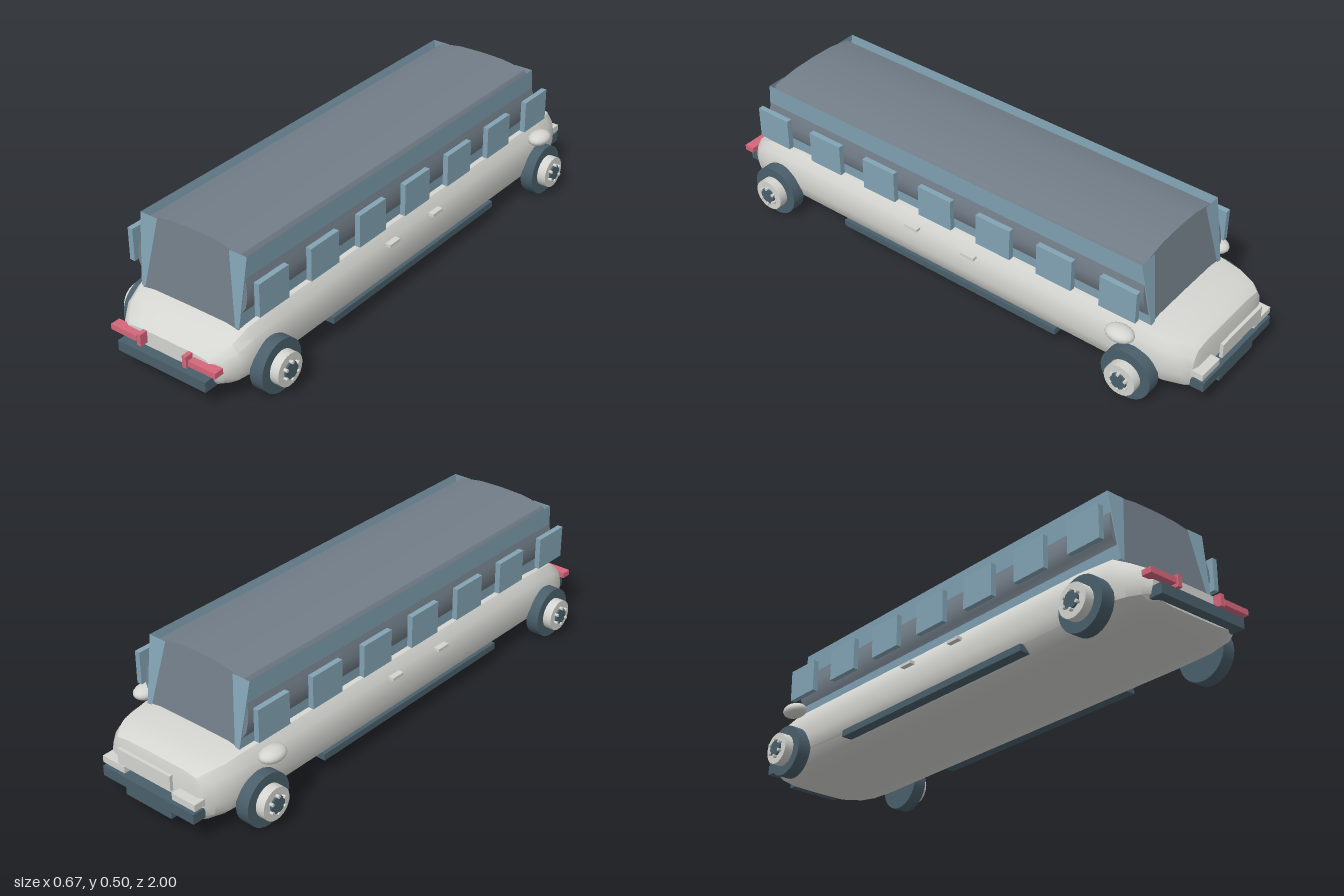
import * as THREE from 'three';
import { toCreasedNormals } from 'three/addons/utils/BufferGeometryUtils.js';

const mat = (name, color, side = THREE.FrontSide) => {
  const m = new THREE.MeshStandardMaterial({ color, side });
  m.name = name;
  return m;
};

// Closed hull through a list of sections [z, halfWidth, yBottom, yTop]
function hull(sections, half) {
  const ring = [...half, ...half.slice(1, -1).reverse().map(([x, t]) => [-x, t])];
  const n = ring.length, pos = [], idx = [];
  for (const [z, w, y0, y1] of sections) {
    for (const [x, t] of ring) pos.push(x * w, y0 + (y1 - y0) * t, z);
  }
  const last = sections.length - 1;
  for (let i = 0; i < last; i++) {
    for (let j = 0; j < n; j++) {
      const a = i * n + j, c = i * n + (j + 1) % n;
      idx.push(a, a + n, c, c, a + n, c + n);
    }
  }
  for (let j = 1; j < n - 1; j++) {
    idx.push(0, j, j + 1, last * n, last * n + j + 1, last * n + j);
  }
  const g = new THREE.BufferGeometry();
  g.setAttribute('position', new THREE.Float32BufferAttribute(pos, 3));
  g.setIndex(idx);
  return toCreasedNormals(g, 0.6);
}

export function createModel() {
  const paint = mat('light grey paint', 0xd4d4d0);
  const cabinGrey = mat('cabin grey', 0x727d88);
  const glass = mat('window blue', 0x82a3b4);
  const glassSheet = glass;
  glassSheet.side = THREE.DoubleSide;
  const dark = mat('dark slate', 0x4a5f6b);
  const red = mat('lamp red', 0xd4667a);

  const car = new THREE.Group();
  car.name = 'limousine';
  const add = (name, geo, material, x = 0, y = 0, z = 0, parent = car) => {
    const m = new THREE.Mesh(geo, material);
    m.name = name;
    m.position.set(x, y, z);
    parent.add(m);
    return m;
  };
  // Box given by its limits on each axis
  const box = (name, material, [x0, x1], [y0, y1], [z0, z1]) =>
    add(name, new THREE.BoxGeometry(Math.abs(x1 - x0), y1 - y0, Math.abs(z1 - z0)), material,
      (x0 + x1) / 2, (y0 + y1) / 2, (z0 + z1) / 2);

  // Long lower body
  add('body', hull([
    [0.965, 0.18, 0.07, 0.17],
    [0.94, 0.208, 0.06, 0.19],
    [0.9, 0.236, 0.05, 0.215],
    [0.84, 0.248, 0.043, 0.25],
    [0.7, 0.25, 0.04, 0.26],
    [-0.78, 0.25, 0.04, 0.264],
    [-0.86, 0.242, 0.042, 0.255],
    [-0.915, 0.222, 0.046, 0.246],
    [-0.945, 0.2, 0.052, 0.23],
    [-0.952, 0.18, 0.06, 0.2],
  ], [[0, 0], [0.55, 0.01], [0.82, 0.07], [0.96, 0.22], [1, 0.42], [1, 0.62],
    [0.965, 0.8], [0.87, 0.95], [0.6, 0.995], [0, 1]]), paint);

  // Cabin: bulged profile stretched between two sloping ends
  const frontZ = (y) => 0.857 - 0.13 * (y - 0.24);
  const backZ = (y) => -0.785 + 0.18 * (y - 0.24);
  const side = [[0.195, 0.22], [0.203, 0.29], [0.219, 0.315], [0.222, 0.355], [0.216, 0.39],
    [0.206, 0.425], [0.2, 0.455], [0.183, 0.477], [0.145, 0.486], [0.09, 0.495], [0, 0.498]];
  const outline = [...side, ...side.slice(0, -1).reverse().map(([x, y]) => [-x, y])];
  const cabin = new THREE.ExtrudeGeometry(
    new THREE.Shape(outline.map(([x, y]) => new THREE.Vector2(x, y))),
    { depth: 1, bevelEnabled: false });
  const cp = cabin.attributes.position;
  for (let i = 0; i < cp.count; i++) {
    const y = cp.getY(i);
    cp.setZ(i, THREE.MathUtils.lerp(backZ(y), frontZ(y), cp.getZ(i)));
  }
  add('cabin', toCreasedNormals(cabin, 0.6), cabinGrey);

  for (const s of [-1, 1]) {
    // Glass sheet wrapping round the cabin corners
    const top = 0.485, low = 0.24, o = 0.004;
    const columns = [
      [0.145, 0.185, frontZ, o], [0.215, 0.201, frontZ, o],
      [0.215, 0.201, backZ, -o], [0.145, 0.185, backZ, -o],
    ];
    const pos = [], idx = [];
    columns.forEach(([xt, xl, zf, dz], i) => {
      pos.push(s * xt, top, zf(top) + dz, s * xl, low, zf(low) + dz);
      const a = i * 2;
      if (i < 3) idx.push(...(s > 0 ? [a, a + 1, a + 2, a + 2, a + 1, a + 3]
        : [a, a + 2, a + 1, a + 2, a + 3, a + 1]));
    });
    const sheet = new THREE.BufferGeometry();
    sheet.setAttribute('position', new THREE.Float32BufferAttribute(pos, 3));
    sheet.setIndex(idx);
    add('sideGlass', toCreasedNormals(sheet, 0.4), glassSheet);

    // Row of side windows
    for (let i = 0; i < 7; i++) {
      const z = 0.77 - i * 0.2445;
      box('sideWindow', glass, [s * 0.247, s * 0.267], [0.297, 0.414], [z - 0.069, z + 0.069]);
    }

    // Wing mirror and door handles
    add('mirror', new THREE.SphereGeometry(1, 16, 12), paint, s * 0.277, 0.24, -0.72)
      .scale.set(0.038, 0.025, 0.052);
    for (const z of [0.15, -0.095]) {
      box('doorHandle', paint, [s * 0.238, s * 0.262], [0.207, 0.218], [z - 0.027, z + 0.027]);
    }
    box('sideSkirt', dark, [s * 0.21, s * 0.252], [0.062, 0.086], [-0.455, 0.468]);

    // Lamps at both ends
    box('redLamp', red, [s * 0.107, s * 0.215], [0.137, 0.157], [0.955, 0.992]);
    box('redMarker', red, [s * 0.086, s * 0.102], [0.128, 0.17], [0.955, 0.995]);
    box('paleLamp', paint, [s * 0.105, s * 0.203], [0.134, 0.158], [-0.94, -0.985]);

    // Wheels
    for (const z of [0.773, -0.757]) {
      const wheel = new THREE.Group();
      wheel.name = 'wheel';
      wheel.position.set(s * 0.24, 0.093, z);
      wheel.rotation.z = -s * Math.PI / 2;
      car.add(wheel);
      const disc = (name, material, r, y0, y1, sides, x = 0, dz = 0) =>
        add(name, new THREE.CylinderGeometry(r, r, y1 - y0, sides), material,
          x, (y0 + y1) / 2, dz, wheel);
      disc('tyre', dark, 0.093, 0, 0.05, 28);
      disc('hub', paint, 0.058, 0.04, 0.083, 24);
      disc('hubCentre', dark, 0.03, 0.07, 0.09, 16);
      for (let k = 0; k < 6; k++) {
        const a = k * Math.PI / 3;
        disc('wheelNut', paint, 0.006, 0.07, 0.096, 8, Math.cos(a) * 0.032, Math.sin(a) * 0.032);
      }
    }
  }

  // Bumpers and number plate panel
  box('frontBumper', dark, [-0.181, 0.181], [0.077, 0.114], [0.95, 1]);
  box('backBumper', dark, [-0.2, 0.2], [0.088, 0.124], [-0.94, -0.99]);
  box('backLip', dark, [-0.1, 0.1], [0.06, 0.088], [-0.94, -0.988]);
  box('backPlate', paint, [-0.115, 0.115], [0.175, 0.23], [-0.986, -0.998]);
  return car;
}
